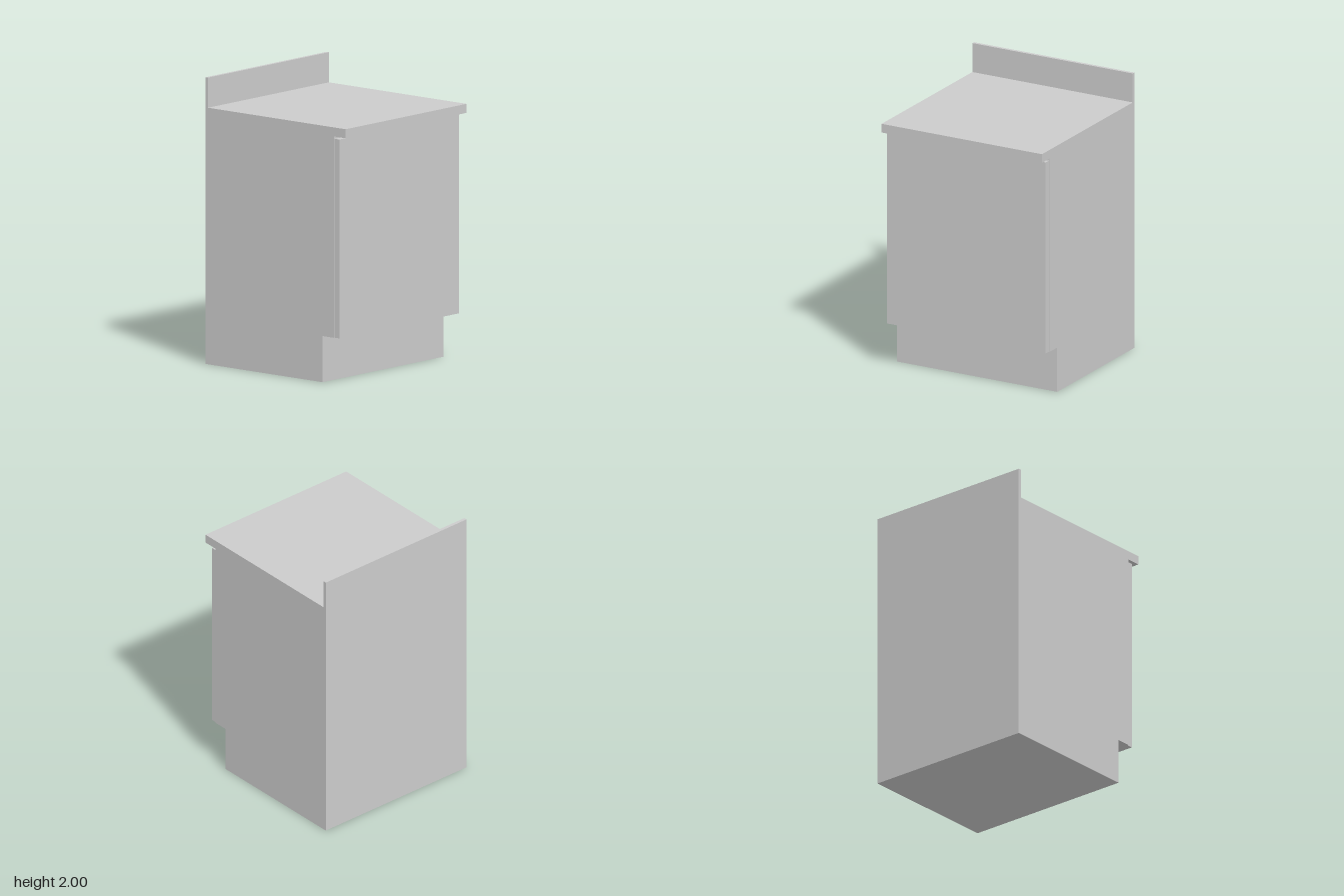
import * as THREE from 'three';

export function createModel() {
  const group = new THREE.Group();
  group.name = 'baseCabinet';
  const material = new THREE.MeshStandardMaterial({ color: 0xcccccc });

  const width = 1.27, back = -0.635;
  const carcassFront = 0.53, doorFront = 0.573, worktopFront = 0.635;
  const doorBottom = 0.322, doorTop = 1.71;

  // Cabinet: side profile (z, y) with toe kick, overhanging worktop and backsplash
  const profile = new THREE.Shape([
    [back, 0], [0.425, 0], [0.425, doorBottom], [carcassFront, doorBottom],
    [carcassFront, 1.727], [worktopFront, 1.727], [worktopFront, 1.79],
    [-0.612, 1.79], [-0.612, 2], [back, 2],
  ].map(([z, y]) => new THREE.Vector2(z, y)));
  const cabinetGeometry = new THREE.ExtrudeGeometry(profile, { depth: width, bevelEnabled: false });
  cabinetGeometry.rotateY(-Math.PI / 2).translate(width / 2, 0, 0);
  const cabinet = new THREE.Mesh(cabinetGeometry, material);
  cabinet.name = 'cabinetWithWorktopAndBacksplash';
  group.add(cabinet);

  // Door: plain slab, slightly narrower than the cabinet
  const door = new THREE.Mesh(
    new THREE.BoxGeometry(width - 0.012, doorTop - doorBottom, doorFront - carcassFront), material);
  door.position.set(0, (doorTop + doorBottom) / 2, (doorFront + carcassFront) / 2);
  door.name = 'door';
  group.add(door);

  return group;
}
